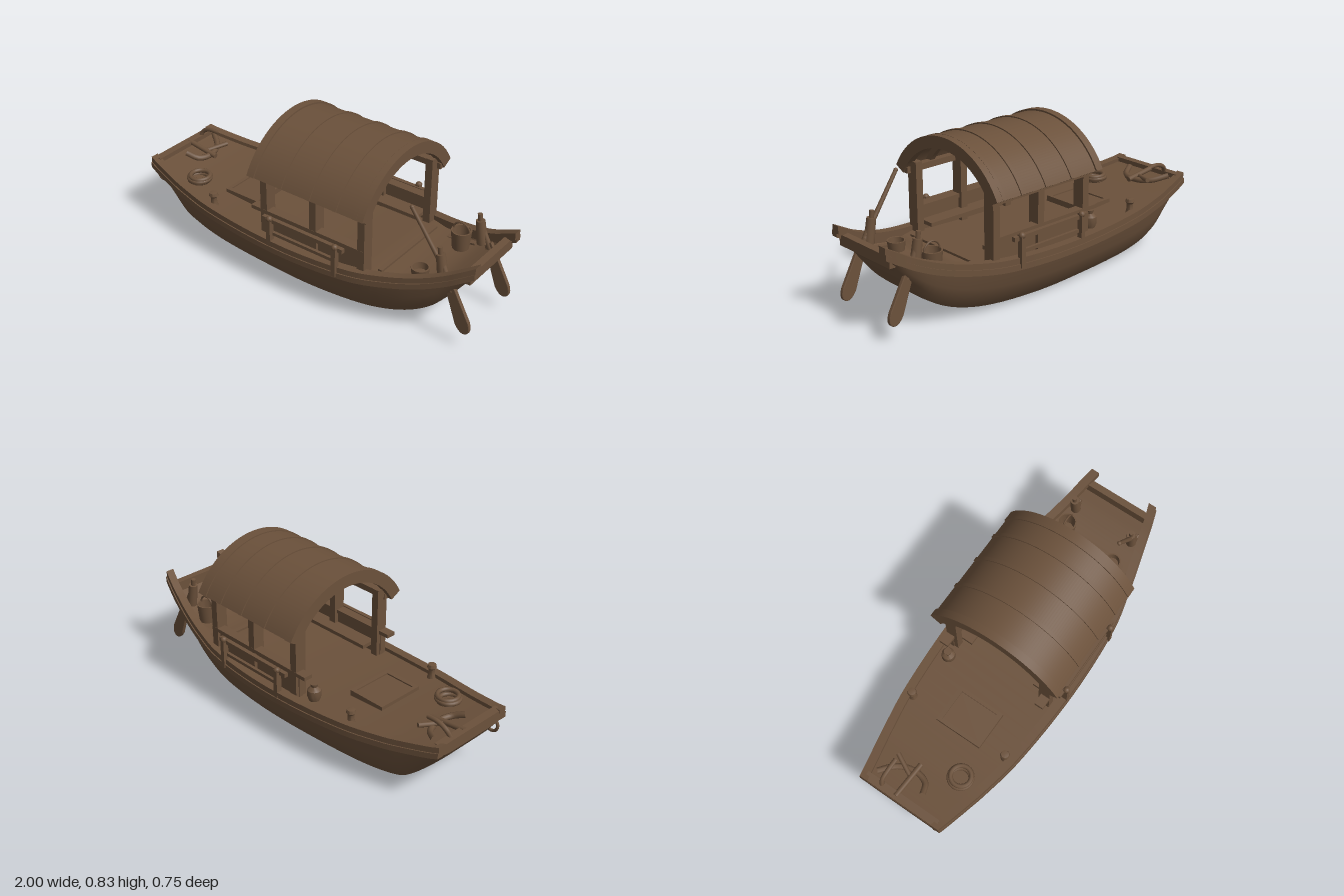
import * as THREE from 'three';
import { toCreasedNormals } from 'three/addons/utils/BufferGeometryUtils.js';

const wood = new THREE.MeshStandardMaterial({ color: 0x6b513b });
wood.name = 'brown wood';

// Hull stations: x, half width, gunwale height, bottom height
const STATIONS = [
  [-1, 0.235, 0.365, 0.30], [-0.94, 0.25, 0.35, 0.22], [-0.8, 0.283, 0.325, 0.08],
  [-0.7, 0.305, 0.312, 0.035], [-0.5, 0.34, 0.295, 0.015], [-0.2, 0.364, 0.282, 0.007],
  [0.1, 0.369, 0.28, 0.004], [0.4, 0.35, 0.293, 0.022], [0.6, 0.308, 0.32, 0.06],
  [0.75, 0.27, 0.358, 0.135], [0.86, 0.24, 0.402, 0.25], [0.93, 0.222, 0.44, 0.34], [1, 0.2, 0.48, 0.42],
];
const curve = (f) => new THREE.CatmullRomCurve3(STATIONS.map(f), false, 'catmullrom', 0.5);
const topCurve = curve((s) => new THREE.Vector3(s[0], s[1], s[2]));
const lowCurve = curve((s) => new THREE.Vector3(s[0], s[3], 0));
const samples = Array.from({ length: 61 }, (_, i) => {
  const a = topCurve.getPoint(i / 60), b = lowCurve.getPoint(i / 60);
  const drop = 0.02 + 0.06 * THREE.MathUtils.smoothstep(a.x, 0.4, 0.8);
  return { x: a.x, w: a.y, top: a.z, low: b.y, deck: a.z - drop };
});

// Closed skin over rings of [z, y] points set along x
function loft(stations, ringOf) {
  const pos = [], idx = [], rings = stations.map(ringOf), n = rings[0].length;
  rings.forEach((r, i) => r.forEach(([z, y]) => pos.push(stations[i].x, y, z)));
  for (let i = 0; i < rings.length - 1; i++) {
    for (let j = 0; j < n; j++) {
      const a = i * n + j, b = i * n + (j + 1) % n;
      idx.push(a, b, a + n, b, b + n, a + n);
    }
  }
  const last = (rings.length - 1) * n;
  for (let j = 1; j < n - 1; j++) {
    idx.push(0, j + 1, j, last, last + j, last + j + 1);
  }
  const g = new THREE.BufferGeometry();
  g.setAttribute('position', new THREE.Float32BufferAttribute(pos, 3));
  g.setIndex(idx);
  return toCreasedNormals(g, 0.6);
}

export function createModel() {
  const model = new THREE.Group();
  model.name = 'coveredBoat';

  const add = (name, geo, x = 0, y = 0, z = 0) => {
    const m = new THREE.Mesh(geo, wood);
    m.name = name;
    m.position.set(x, y, z);
    model.add(m);
    return m;
  };
  // Box given by its ranges on each axis
  const box = (name, [x0, x1], [y0, y1], [z0, z1]) =>
    add(name, new THREE.BoxGeometry(x1 - x0, y1 - y0, z1 - z0), (x0 + x1) / 2, (y0 + y1) / 2, (z0 + z1) / 2);
  const rod = (name, a, b, r0, r1 = r0) => {
    const p = new THREE.Vector3(...a), q = new THREE.Vector3(...b);
    const d = q.clone().sub(p);
    const m = add(name, new THREE.CylinderGeometry(r1, r0, d.length(), 12));
    m.position.copy(p).add(q).multiplyScalar(0.5);
    m.quaternion.setFromUnitVectors(new THREE.Vector3(0, 1, 0), d.normalize());
    return m;
  };
  const lathe = (name, pts, x, y, z) =>
    add(name, toCreasedNormals(new THREE.LatheGeometry(pts.map((p) => new THREE.Vector2(...p)), 20), 0.7), x, y, z);
  const tube = (name, pts, r) =>
    add(name, new THREE.TubeGeometry(new THREE.CatmullRomCurve3(pts.map((p) => new THREE.Vector3(...p))), 20, r, 8));

  // Hull with flat bottom, rounded bilge and closed deck
  add('hull', loft(samples.filter((s) => s.x < 0.975), (s) => {
    const h = s.top - 0.05 - s.low;
    const half = [
      [s.w * 0.42, s.low], [s.w * 0.66, s.low + 0.03 * h], [s.w * 0.8, s.low + 0.27 * h],
      [s.w * 0.89, s.low + 0.58 * h], [s.w - 0.015, s.top - 0.05], [s.w - 0.035, s.deck],
    ];
    return [...half.map(([z, y]) => [-z, y]), ...half.reverse()];
  }));

  for (const s of [-1, 1]) {
    // Gunwales and the thin moulding below them
    const strip = (name, out, inn, up, down) => add(name, loft(samples, (p) => {
      const [z0, z1] = [s * (p.w + out), s * (p.w - inn)].sort((a, b) => a - b);
      return [[z0, p.top - down], [z0, p.top + up], [z1, p.top + up], [z1, p.top - down]];
    }));
    strip('gunwale', 0, 0.045, 0, 0.04);
    strip('rubbingStrake', 0.006, 0.03, -0.03, 0.06);

    // Cabin posts, low side wall, bench and eave beam
    for (const x of [-0.14, 0.165, 0.45]) box('cabinPost', [x - 0.02, x + 0.02], [0.24, 0.64], [s * 0.282 - 0.032, s * 0.282 + 0.032]);
    box('cabinSideWall', [-0.165, 0.46], [0.24, 0.385], [s * 0.285 - 0.012, s * 0.285 + 0.012]);
    box('cabinSill', [-0.22, 0.47], [0.385, 0.405], [s * 0.29 - 0.025, s * 0.29 + 0.025]);
    box('bench', [-0.12, 0.43], [0.31, 0.33], [s * 0.235 - 0.045, s * 0.235 + 0.045]);
    box('eaveBeam', [-0.165, 0.49], [0.578, 0.61], [s * 0.312 - 0.02, s * 0.312 + 0.02]);

    // Outer hand rail
    for (const x of [-0.07, 0.33]) {
      box('railPost', [x - 0.012, x + 0.012], [0.24, 0.405], [s * 0.355 - 0.015, s * 0.355 + 0.015]);
      add('railKnob', new THREE.SphereGeometry(0.017, 12, 8), x, 0.4, s * 0.357);
    }
    box('handRail', [-0.12, 0.37], [0.375, 0.397], [s * 0.342 - 0.011, s * 0.342 + 0.011]);
    box('lowerRail', [-0.07, 0.33], [0.305, 0.322], [s * 0.342 - 0.008, s * 0.342 + 0.008]);

    // Bow bollards
    lathe('bollard', [[0, 0], [0.024, 0], [0.016, 0.03], [0.016, 0.055], [0.024, 0.065], [0.02, 0.082], [0, 0.085]], -0.505, 0.27, s * 0.285);

    // Stern oar posts and blades
    rod('oarPost', [0.82, 0.34, s * 0.175], [0.8, 0.465, s * 0.175], 0.027, 0.023);
    rod('oarPostPin', [0.8, 0.46, s * 0.175], [0.795, 0.5, s * 0.175], 0.012);
    const blade = new THREE.Shape();
    blade.moveTo(-0.018, 0.05);
    blade.lineTo(-0.036, -0.18);
    blade.quadraticCurveTo(-0.03, -0.235, 0, -0.235);
    blade.quadraticCurveTo(0.03, -0.235, 0.034, -0.18);
    blade.lineTo(0.018, 0.05);
    const oar = add('oarBlade', new THREE.ExtrudeGeometry(blade, {
      depth: 0.012, bevelEnabled: true, bevelThickness: 0.004, bevelSize: 0.004, bevelSegments: 2,
    }), 0.87, 0.305, s * 0.183 - 0.006);
    oar.rotation.z = 0.42;
    rod('oarNeck', [0.81, 0.43, s * 0.178], [0.875, 0.29, s * 0.182], 0.014);
  }

  // Barrel roof: arched bands about an axis at y = 0.41
  const arch = (name, r0, r1, x0, x1, half = 1.08) => {
    const a = Math.PI / 2 - half, b = Math.PI / 2 + half;
    const sh = new THREE.Shape();
    sh.absarc(0, 0, r1, a, b, false);
    sh.absarc(0, 0, r0, b, a, true);
    const g = new THREE.ExtrudeGeometry(sh, { depth: x1 - x0, bevelEnabled: false, curveSegments: 32 });
    g.rotateY(Math.PI / 2);
    return add(name, toCreasedNormals(g, 0.6), x0, 0.41, 0);
  };
  arch('roofShell', 0.395, 0.416, -0.185, 0.49);
  for (const x of [0.01, 0.18, 0.335, 0.45]) arch('roofRib', 0.41, 0.422, x - 0.01, x + 0.01);
  arch('roofEndArch', 0.36, 0.425, -0.192, -0.15);
  arch('roofEndArch', 0.36, 0.421, 0.455, 0.497);
  for (const x of [0.01, 0.165, 0.32]) arch('roofInnerRib', 0.365, 0.4, x - 0.014, x + 0.014);

  // Cross beams at bow and stern
  box('bowBeam', [-0.998, -0.955], [0.315, 0.358], [-0.215, 0.215]);
  box('sternBeam', [0.935, 0.972], [0.37, 0.425], [-0.19, 0.19]);

  // Deck hatch with raised rim
  box('hatch', [-0.52, -0.35], [0.26, 0.29], [-0.09, 0.13]);
  for (const z of [-0.1, 0.14]) box('hatchRim', [-0.54, -0.33], [0.255, 0.297], [z - 0.012, z + 0.012]);
  for (const x of [-0.53, -0.34]) box('hatchRim', [x - 0.01, x + 0.01], [0.255, 0.297], [-0.1, 0.14]);

  // Stern deck boards
  for (const z of [-0.225, 0.225]) {
    const b = box('sternBoard', [0.51, 0.76], [0.255, 0.275], [z - 0.015, z + 0.015]);
    b.rotation.z = 0.13;
  }
  box('cabinStep', [0.5, 0.525], [0.24, 0.285], [-0.24, 0.24]);

  // Rope coil
  for (let i = 0; i < 3; i++) {
    const ring = add('ropeCoil', new THREE.TorusGeometry(0.052 + 0.006 * (i % 2), 0.012, 8, 28), -0.72 + 0.004 * i, 0.298 + 0.012 * i, 0.165);
    ring.rotation.x = Math.PI / 2;
  }

  // Anchor lying on the bow, with a hooked arm and a hanging ring
  rod('anchorShank', [-0.98, 0.352, -0.035], [-0.78, 0.325, -0.03], 0.014);
  tube('anchorArms', [[-0.93, 0.35, -0.185], [-0.85, 0.325, -0.12], [-0.82, 0.32, -0.03], [-0.84, 0.325, 0.04], [-0.9, 0.35, 0.07]], 0.016);
  tube('anchorHook', [[-0.975, 0.345, -0.12], [-0.95, 0.385, -0.13], [-0.9, 0.405, -0.13], [-0.84, 0.406, -0.13]], 0.012);
  rod('anchorStock', [-0.86, 0.33, -0.03], [-0.8, 0.345, -0.15], 0.012);
  add('mooringRing', new THREE.TorusGeometry(0.036, 0.008, 8, 24), -0.955, 0.262, 0.2);

  // Jug by the cabin
  lathe('jug', [[0, 0], [0.026, 0], [0.036, 0.03], [0.034, 0.06], [0.016, 0.078], [0.02, 0.095], [0, 0.095]], -0.23, 0.26, -0.26);

  // Bucket and small tub on the stern deck
  lathe('bucket', [[0, 0], [0.042, 0], [0.052, 0.1], [0.044, 0.1], [0.037, 0.02], [0, 0.02]], 0.71, 0.28, -0.16);
  add('bucketHandle', new THREE.TorusGeometry(0.046, 0.005, 6, 20, Math.PI), 0.71, 0.375, -0.16);
  lathe('tub', [[0, 0], [0.04, 0], [0.046, 0.05], [0.038, 0.05], [0.034, 0.015], [0, 0.015]], 0.68, 0.275, 0.15);

  // Steering oar handle
  rod('oarHandle', [0.84, 0.37, 0.178], [0.64, 0.66, 0.185], 0.013, 0.01);
  add('oarGrip', new THREE.SphereGeometry(0.011, 12, 8), 0.64, 0.66, 0.185);

  return model;
}
